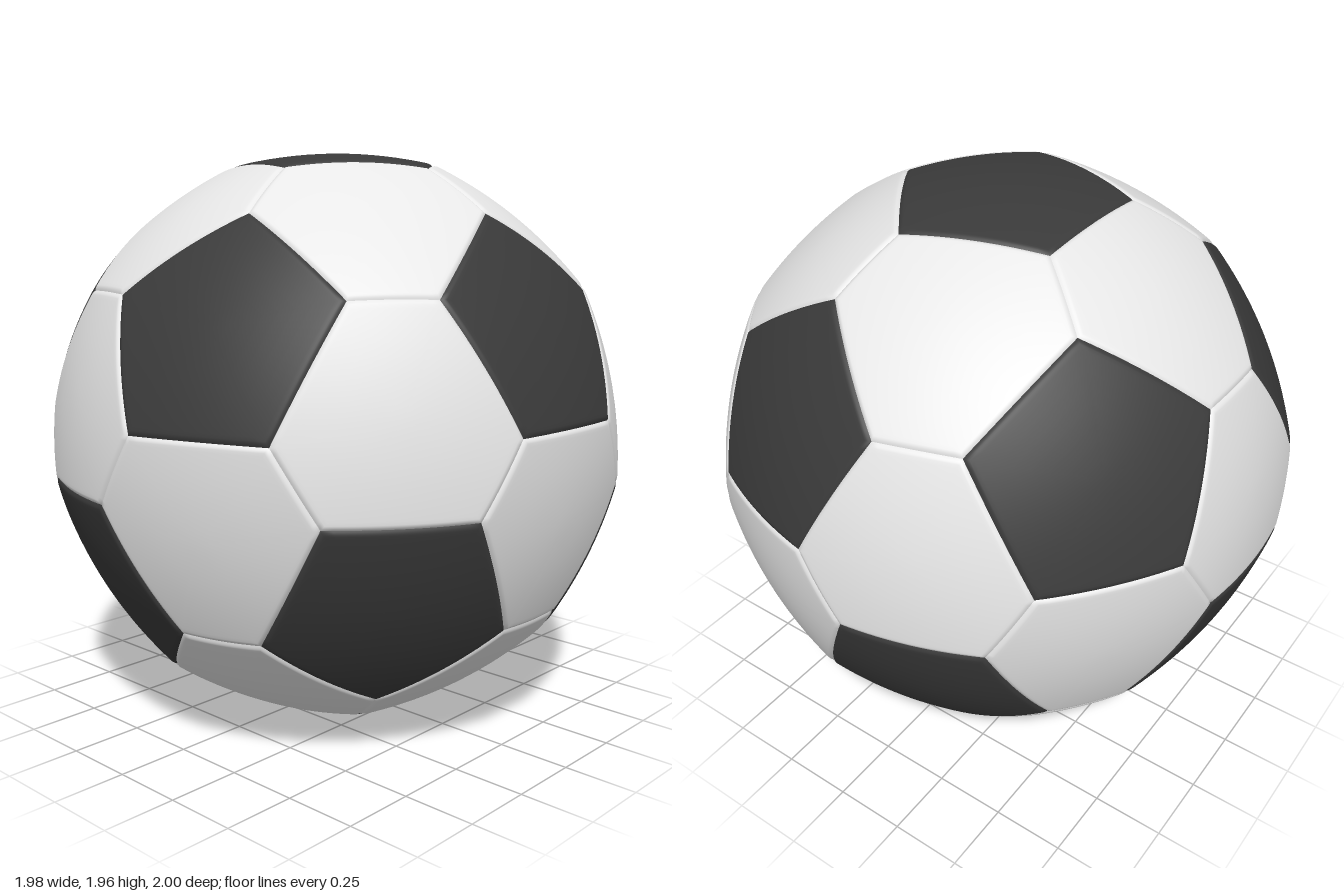
import * as THREE from 'three';

const RADIUS = 1.008;      // corner radius of the panels
const PUFF = 0.66;         // 0 = flat panels, 1 = full sphere
const CORNER = THREE.MathUtils.degToRad(23.8); // pentagon centre to corner
const SEAM_DEPTH = 0.008, SEAM_WIDTH = 0.022;
const EDGE_STEPS = 14;
const CENTRE_Y = 0.98;

// Twelve pentagon centres: two poles and two staggered rings of five
function pentagonCentres() {
  const list = [new THREE.Vector3(0, 1, 0), new THREE.Vector3(0, -1, 0)];
  const y = 1 / Math.sqrt(5), r = 2 / Math.sqrt(5);
  for (let k = 0; k < 10; k++) {
    const a = k * Math.PI / 5;
    list.push(new THREE.Vector3(r * Math.cos(a), k % 2 ? -y : y, r * Math.sin(a)));
  }
  return list;
}

// Panel corner lying on the arc from one pentagon centre towards another
function cornerBetween(from, to) {
  const axis = from.clone().cross(to).normalize();
  return from.clone().applyAxisAngle(axis, CORNER).multiplyScalar(RADIUS);
}

// Puffed polygon with a sunken seam along its rim
function panelGeometry(corners) {
  const centre = new THREE.Vector3();
  corners.forEach(c => centre.addScaledVector(c, 1 / corners.length));
  const n = centre.clone().normalize();
  const u = corners[0].clone().sub(centre).normalize();
  const w = n.clone().cross(u);
  const angle = p => Math.atan2(p.clone().sub(centre).dot(w), p.clone().sub(centre).dot(u));
  const ordered = [...corners].sort((a, b) => angle(a) - angle(b));

  const rim = [];
  ordered.forEach((c, i) => {
    const next = ordered[(i + 1) % ordered.length];
    for (let s = 0; s < EDGE_STEPS; s++) rim.push(c.clone().lerp(next, s / EDGE_STEPS));
  });
  const apothem = ordered[0].clone().add(ordered[1]).multiplyScalar(0.5).distanceTo(centre);

  const positions = [], index = [];
  const addPoint = (flat, scale) => {
    const p = flat.clone().lerp(flat.clone().setLength(RADIUS), PUFF);
    const fall = Math.max(0, 1 - (1 - scale) * apothem / SEAM_WIDTH);
    p.setLength(p.length() - SEAM_DEPTH * fall * fall);
    positions.push(p.x, p.y, p.z);
  };
  const rings = [0.12, 0.25, 0.38, 0.5, 0.62, 0.74, 0.84, 0.91, 0.945, 0.96, 0.973, 0.987, 1];
  addPoint(centre, 0);
  rings.forEach(s => rim.forEach(p => addPoint(centre.clone().lerp(p, s), s)));

  const m = rim.length;
  for (let k = 0; k < m; k++) {
    const k2 = (k + 1) % m;
    index.push(0, 1 + k, 1 + k2);
    for (let r = 1; r < rings.length; r++) {
      const a = 1 + (r - 1) * m, b = 1 + r * m;
      index.push(a + k, b + k, b + k2, a + k, b + k2, a + k2);
    }
  }
  const geometry = new THREE.BufferGeometry();
  geometry.setAttribute('position', new THREE.Float32BufferAttribute(positions, 3));
  geometry.setIndex(index);
  geometry.computeVertexNormals();
  return geometry;
}

export function createModel() {
  const white = new THREE.MeshStandardMaterial({ name: 'white leather', color: 0xe7e7e7 });
  const black = new THREE.MeshStandardMaterial({ name: 'black leather', color: 0x3a3a3a });

  const ball = new THREE.Group();
  ball.name = 'ball';
  const addPanel = (name, corners, material) => {
    const mesh = new THREE.Mesh(panelGeometry(corners), material);
    mesh.name = name;
    mesh.position.y = CENTRE_Y;
    ball.add(mesh);
  };

  const centres = pentagonCentres();
  const adjacent = (a, b) => a !== b && a.dot(b) > 0.4;

  // Black pentagons
  centres.forEach(c => {
    const corners = centres.filter(d => adjacent(c, d)).map(d => cornerBetween(c, d));
    addPanel('pentagonPanel', corners, black);
  });

  // White hexagons, one between every three neighbouring pentagons
  for (let i = 0; i < 12; i++) for (let j = i + 1; j < 12; j++) for (let k = j + 1; k < 12; k++) {
    const trio = [centres[i], centres[j], centres[k]];
    const corners = trio.flatMap(a => trio.filter(b => adjacent(a, b)).map(b => cornerBetween(a, b)));
    if (corners.length === 6) addPanel('hexagonPanel', corners, white);
  }
  return ball;
}
